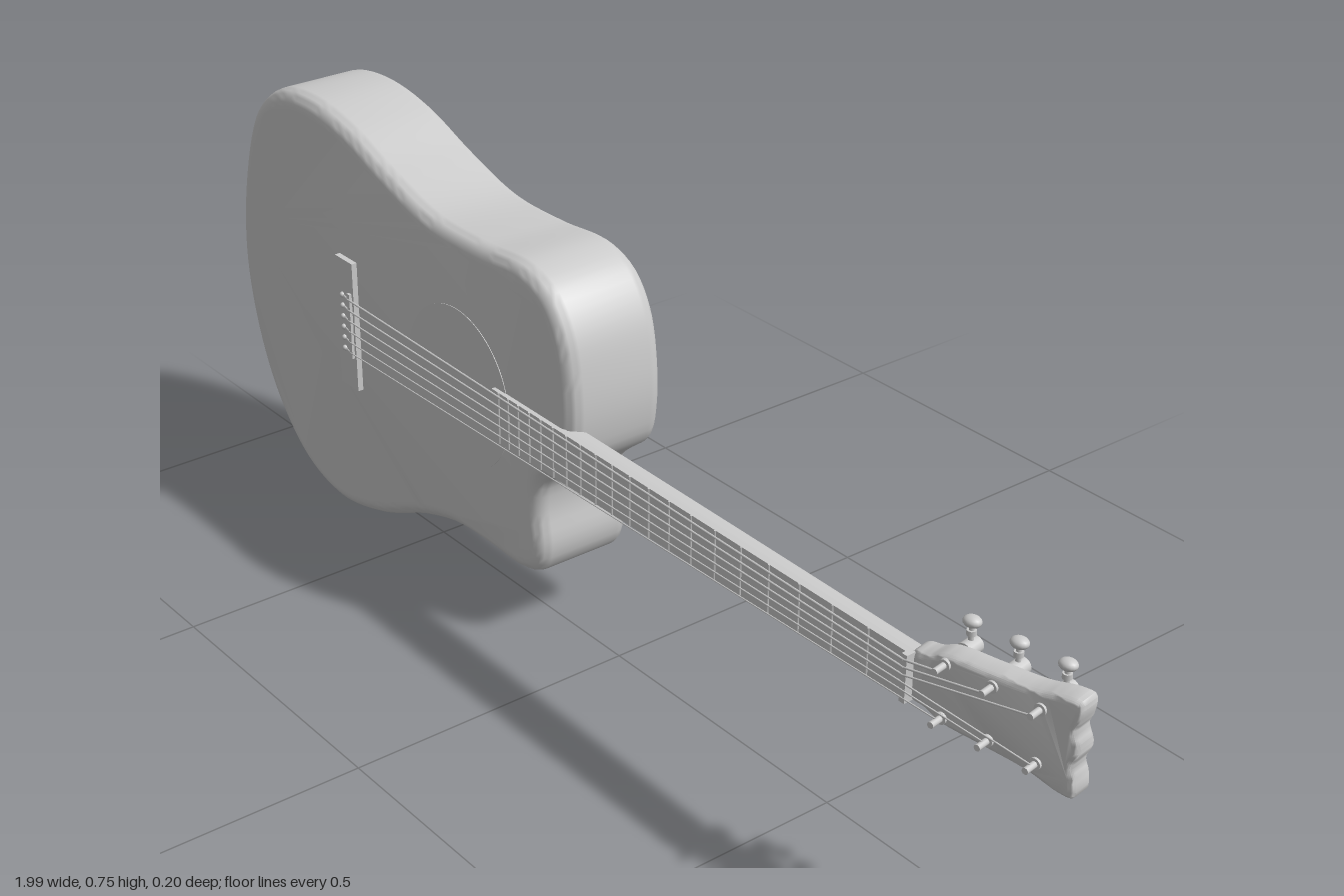
import * as THREE from 'three';
import { toCreasedNormals } from 'three/addons/utils/BufferGeometryUtils.js';

const material = new THREE.MeshStandardMaterial({ color: 0xcccccc });
const AXIS_Y = 0.389; // centre line of neck and strings
const UP = new THREE.Vector3(0, 1, 0);

function add(parent, name, geometry, x = 0, y = 0, z = 0) {
  const mesh = new THREE.Mesh(geometry, material);
  mesh.name = name;
  mesh.position.set(x, y, z);
  parent.add(mesh);
  return mesh;
}

// Cylinder between two points
function rod(parent, name, a, b, radius, sides = 8) {
  const dir = b.clone().sub(a);
  const mesh = add(parent, name, new THREE.CylinderGeometry(radius, radius, dir.length(), sides));
  mesh.position.copy(a).add(b).multiplyScalar(0.5);
  mesh.quaternion.setFromUnitVectors(UP, dir.normalize());
  return mesh;
}

// Closed smooth outline, extruded with rounded edges between z0 and z1
function roundedSlab(points, samples, z0, z1, radius) {
  const curve = new THREE.CatmullRomCurve3(points.map(([x, y]) => new THREE.Vector3(x, y, 0)), true);
  const outline = curve.getSpacedPoints(samples).slice(0, -1).map(p => new THREE.Vector2(p.x, p.y));
  const geometry = new THREE.ExtrudeGeometry(new THREE.Shape(outline), {
    depth: z1 - z0 - 2 * radius, bevelEnabled: true, bevelThickness: radius,
    bevelSize: radius, bevelOffset: -radius, bevelSegments: 6, curveSegments: 1,
  });
  geometry.translate(0, 0, z0 + radius);
  return toCreasedNormals(geometry, 0.75);
}

// Half-round neck lofted along x, tapering to the nut
function neckGeometry() {
  const stations = [[-0.06, 0.043, 0.052], [0.35, 0.04, 0.049], [0.74, 0.037, 0.045]];
  const n = 16, positions = [], index = [];
  for (const [x, half, depth] of stations) {
    for (let i = 0; i <= n; i++) {
      const a = Math.PI * i / n;
      positions.push(x, AXIS_Y + half * Math.cos(a), 0.086 - depth * Math.pow(Math.sin(a), 0.7));
    }
  }
  for (let s = 0; s < stations.length - 1; s++) {
    for (let i = 0; i < n; i++) {
      const a = s * (n + 1) + i, b = a + n + 1;
      index.push(a, b, a + 1, b, b + 1, a + 1);
    }
  }
  const last = (stations.length - 1) * (n + 1);
  for (let i = 1; i < n; i++) index.push(last, last + i + 1, last + i);
  const geometry = new THREE.BufferGeometry();
  geometry.setAttribute('position', new THREE.Float32BufferAttribute(positions, 3));
  geometry.setIndex(index);
  return toCreasedNormals(geometry, 0.8);
}

// Headstock with its tuners, front face on local z = 0
function createHeadstock() {
  const head = new THREE.Group();
  head.name = 'headstock';
  const upper = [[0, 0.037], [0.025, 0.043], [0.05, 0.054], [0.12, 0.059], [0.19, 0.064],
    [0.24, 0.075], [0.262, 0.073], [0.262, 0.045], [0.256, 0.028]];
  const lower = upper.map(([x, y]) => [x, -y]);
  const outline = [...lower, [0.265, 0], ...upper.reverse(), [-0.006, 0]];
  add(head, 'headstockPlate', roundedSlab(outline, 110, -0.042, 0, 0.009));

  for (const side of [1, -1]) {
    for (const x of [0.055, 0.13, 0.205]) {
      const tuner = new THREE.Group();
      tuner.name = 'tuner';
      head.add(tuner);
      const at = (y, z) => new THREE.Vector3(x, side * y, z);
      rod(tuner, 'stringPost', at(0.042, -0.002), at(0.042, 0.025), 0.005, 12);
      rod(tuner, 'postWasher', at(0.042, -0.002), at(0.042, 0.004), 0.009, 16);
      rod(tuner, 'gearHousing', at(0.042, -0.04), at(0.042, -0.068), 0.013, 16);
      rod(tuner, 'tunerShaft', at(0.045, -0.055), at(0.082, -0.055), 0.004, 10);
      rod(tuner, 'shaftCollar', at(0.062, -0.055), at(0.07, -0.055), 0.007, 12);
      const knob = add(tuner, 'tunerKnob', new THREE.SphereGeometry(1, 16, 10), x, side * 0.083, -0.055);
      knob.scale.set(0.014, 0.0085, 0.012);
    }
  }
  head.position.set(0.735, AXIS_Y, 0.085);
  head.rotation.y = 0.16;
  return head;
}

export function createModel() {
  const guitar = new THREE.Group();
  guitar.name = 'acousticGuitar';

  // Single-cutaway body, counter-clockwise from the far end
  const bodyOutline = [
    [-0.997, 0.393], [-0.97, 0.24], [-0.91, 0.12], [-0.82, 0.035], [-0.71, 0.004], [-0.58, 0.03],
    [-0.445, 0.088], [-0.34, 0.117], [-0.25, 0.121], [-0.16, 0.12], [-0.115, 0.136], [-0.1, 0.18],
    [-0.108, 0.25], [-0.1, 0.3], [-0.065, 0.335], [-0.03, 0.365], [-0.016, 0.42], [-0.016, 0.5],
    [-0.034, 0.585], [-0.075, 0.642], [-0.139, 0.667], [-0.257, 0.661], [-0.39, 0.664],
    [-0.513, 0.698], [-0.63, 0.739], [-0.743, 0.756], [-0.845, 0.741], [-0.92, 0.685], [-0.973, 0.56],
  ];
  add(guitar, 'body', roundedSlab(bodyOutline, 180, -0.101, 0.083, 0.027));

  // Sound hole inlay
  const hole = add(guitar, 'soundHole', new THREE.CylinderGeometry(0.14, 0.14, 0.002, 64), -0.315, 0.392, 0.083);
  hole.rotation.x = Math.PI / 2;

  // Bridge, saddle and pins
  add(guitar, 'bridge', new THREE.BoxGeometry(0.052, 0.238, 0.012), -0.633, 0.387, 0.087);
  add(guitar, 'saddle', new THREE.BoxGeometry(0.008, 0.12, 0.008), -0.616, AXIS_Y, 0.094);

  // Neck, tapered fingerboard, nut
  add(guitar, 'neck', neckGeometry());
  const board = new THREE.Shape([[-0.21, -0.045], [0.735, -0.038], [0.735, 0.038], [-0.21, 0.045]]
    .map(([x, y]) => new THREE.Vector2(x, y)));
  add(guitar, 'fingerboard', new THREE.ExtrudeGeometry(board, { depth: 0.011, bevelEnabled: false }), 0, AXIS_Y, 0.08);
  add(guitar, 'nut', new THREE.BoxGeometry(0.01, 0.076, 0.016), 0.735, AXIS_Y, 0.09);

  // Frets spaced by the twelfth root of two
  for (let i = 1; i <= 20; i++) {
    const x = 0.735 - 1.351 * (1 - Math.pow(2, -i / 12));
    const half = 0.038 + (0.735 - x) * 0.0074;
    rod(guitar, 'fret', new THREE.Vector3(x, AXIS_Y - half, 0.091), new THREE.Vector3(x, AXIS_Y + half, 0.091), 0.0022, 6);
  }

  const headstock = createHeadstock();
  guitar.add(headstock);
  headstock.updateMatrix();

  // Six strings from bridge pin over saddle and nut to the tuner post
  for (let i = 0; i < 6; i++) {
    const t = 1 - i / 2.5;
    const side = Math.sign(t);
    const post = new THREE.Vector3([0.055, 0.13, 0.205][Math.min(i, 5 - i)], side * 0.037, 0.014)
      .applyMatrix4(headstock.matrix);
    const path = [
      new THREE.Vector3(-0.64, AXIS_Y + t * 0.05, 0.093),
      new THREE.Vector3(-0.616, AXIS_Y + t * 0.05, 0.098),
      new THREE.Vector3(0.735, AXIS_Y + t * 0.03, 0.0985),
      post,
    ];
    const radius = 0.0011 + 0.00015 * (5 - i);
    for (let k = 0; k < 3; k++) rod(guitar, 'string', path[k], path[k + 1], radius, 6);
    add(guitar, 'bridgePin', new THREE.SphereGeometry(0.005, 12, 8), -0.64, AXIS_Y + t * 0.05, 0.094);
  }
  return guitar;
}
